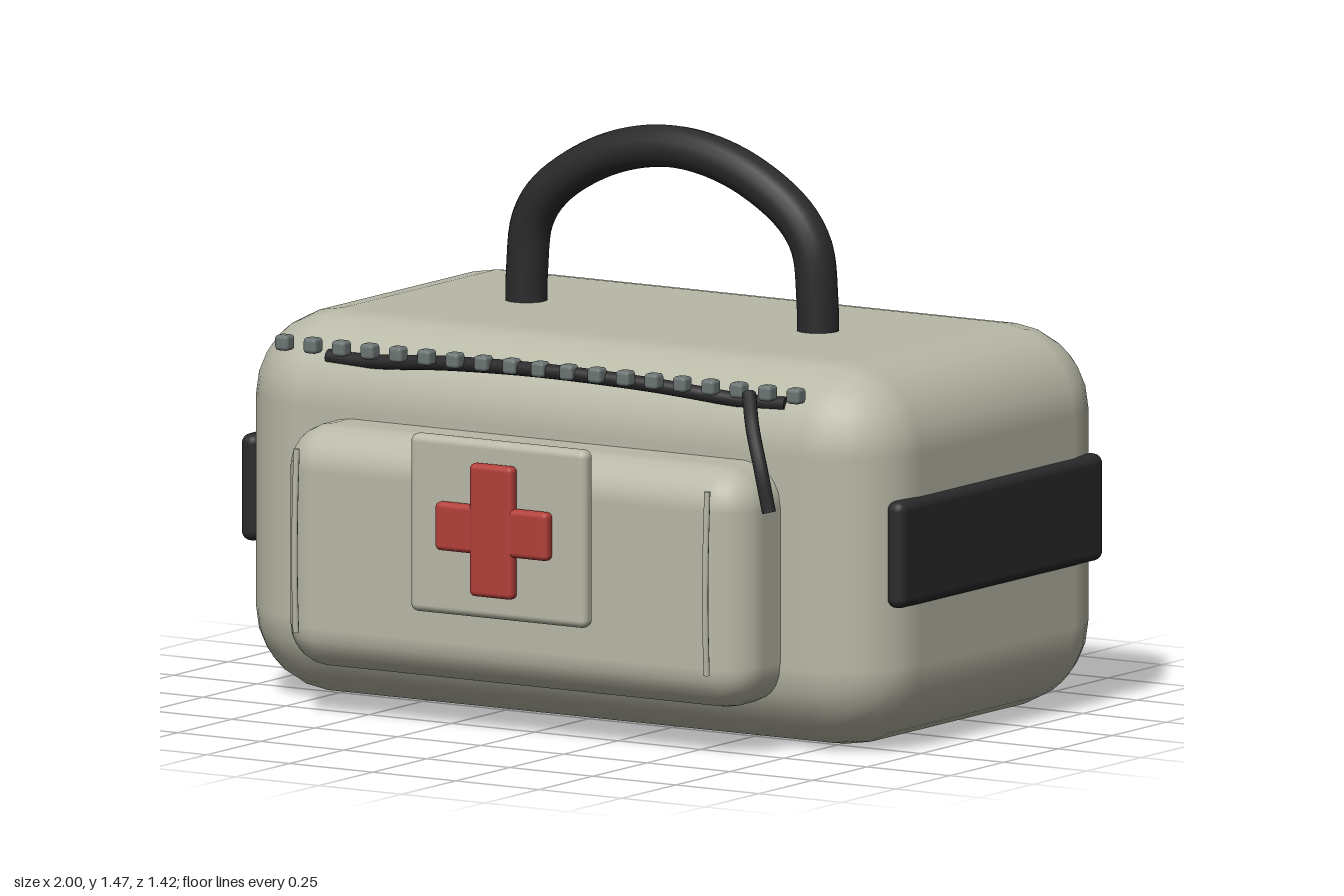
import * as THREE from 'three';
import { RoundedBoxGeometry } from 'three/addons/geometries/RoundedBoxGeometry.js';

export function createModel() {
  const model = new THREE.Group();
  model.name = 'medicalBag';

  const mat = (name, color) => {
    const m = new THREE.MeshStandardMaterial({ color });
    m.name = name;
    return m;
  };
  const canvas = mat('canvas', 0xb9b9a8);
  const black = mat('blackWebbing', 0x2a2a2c);
  const red = mat('red', 0xb33f39);
  const metal = mat('metal', 0x6c7674);

  const add = (name, geometry, material, parent = model) => {
    const mesh = new THREE.Mesh(geometry, material);
    mesh.name = name;
    parent.add(mesh);
    return mesh;
  };

  // Rounded box given by its extents on each axis
  const box = (name, material, [x0, x1], [y0, y1], [z0, z1], radius, segments = 3, parent = model) => {
    const g = new RoundedBoxGeometry(x1 - x0, y1 - y0, z1 - z0, segments, radius);
    g.translate((x0 + x1) / 2, (y0 + y1) / 2, (z0 + z1) / 2);
    return add(name, g, material, parent);
  };

  // Round cord through points, closed with a disc at each end
  const cord = (name, material, points, radius, steps = 32, sides = 12) => {
    const group = new THREE.Group();
    group.name = name;
    model.add(group);
    const curve = new THREE.CatmullRomCurve3(points.map(p => new THREE.Vector3(...p)));
    add(name + 'Tube', new THREE.TubeGeometry(curve, steps, radius, sides), material, group);
    for (const t of [0, 1]) {
      const end = add(name + 'End', new THREE.CircleGeometry(radius, sides), material, group);
      const out = curve.getTangent(t).multiplyScalar(t ? 1 : -1);
      end.position.copy(curve.getPoint(t));
      end.quaternion.setFromUnitVectors(new THREE.Vector3(0, 0, 1), out);
    }
  };

  // Main body and front pocket
  box('body', canvas, [-0.98, 0.98], [0, 0.98], [-0.71, 0.44], 0.22);
  box('frontPocket', canvas, [-0.705, 0.7], [0.12, 0.74], [0.33, 0.625], 0.11);

  // Badge plate with raised cross
  box('badge', canvas, [-0.265, 0.265], [0.31, 0.765], [0.63, 0.678], 0.02);
  box('crossUpright', red, [-0.065, 0.065], [0.37, 0.71], [0.674, 0.71], 0.014);
  box('crossBar', red, [-0.17, 0.17], [0.478, 0.602], [0.672, 0.708], 0.014);

  // Thin seams at both ends of the pocket
  for (const x of [-0.62, 0.617]) {
    cord('pocketSeam', canvas,
      [[x, 0.22, 0.653], [x, 0.36, 0.659], [x, 0.52, 0.658], [x, 0.69, 0.65]], 0.008, 12, 8);
  }

  // Side straps
  box('rightStrap', black, [-1, -0.945], [0.378, 0.652], [-0.605, 0.337], 0.025);
  box('leftStrap', black, [0.945, 1], [0.378, 0.652], [-0.605, 0.337], 0.025);

  // Carry handle
  const half = [[0.44, 0.93], [0.437, 1.06], [0.42, 1.19], [0.36, 1.275], [0.19, 1.375]];
  const z = -0.135;
  cord('handle', black, [
    ...half.map(([x, y]) => [-x, y, z]),
    [0, 1.411, z],
    ...half.slice().reverse().map(([x, y]) => [x, y, z]),
  ], 0.054, 64, 16);

  // Zip: bowed tape, a row of teeth and a hanging pull
  cord('zipTape', black, [
    [-0.69, 0.885, 0.393], [-0.58, 0.883, 0.397], [-0.3, 0.908, 0.44], [0, 0.92, 0.467],
    [0.3, 0.908, 0.44], [0.58, 0.883, 0.397], [0.69, 0.885, 0.393],
  ], 0.019, 40);
  const teeth = new THREE.Group();
  teeth.name = 'zipTeeth';
  model.add(teeth);
  const toothGeometry = new RoundedBoxGeometry(0.04, 0.04, 0.04, 2, 0.01);
  for (let i = 0; i < 19; i++) {
    add('zipTooth', toothGeometry, metal, teeth).position.set(-0.77 + i * 1.54 / 18, 0.925, 0.475);
  }
  cord('zipPull', black, [
    [0.645, 0.922, 0.5], [0.695, 0.845, 0.56], [0.74, 0.75, 0.592], [0.765, 0.642, 0.592],
  ], 0.018, 16);

  return model;
}
